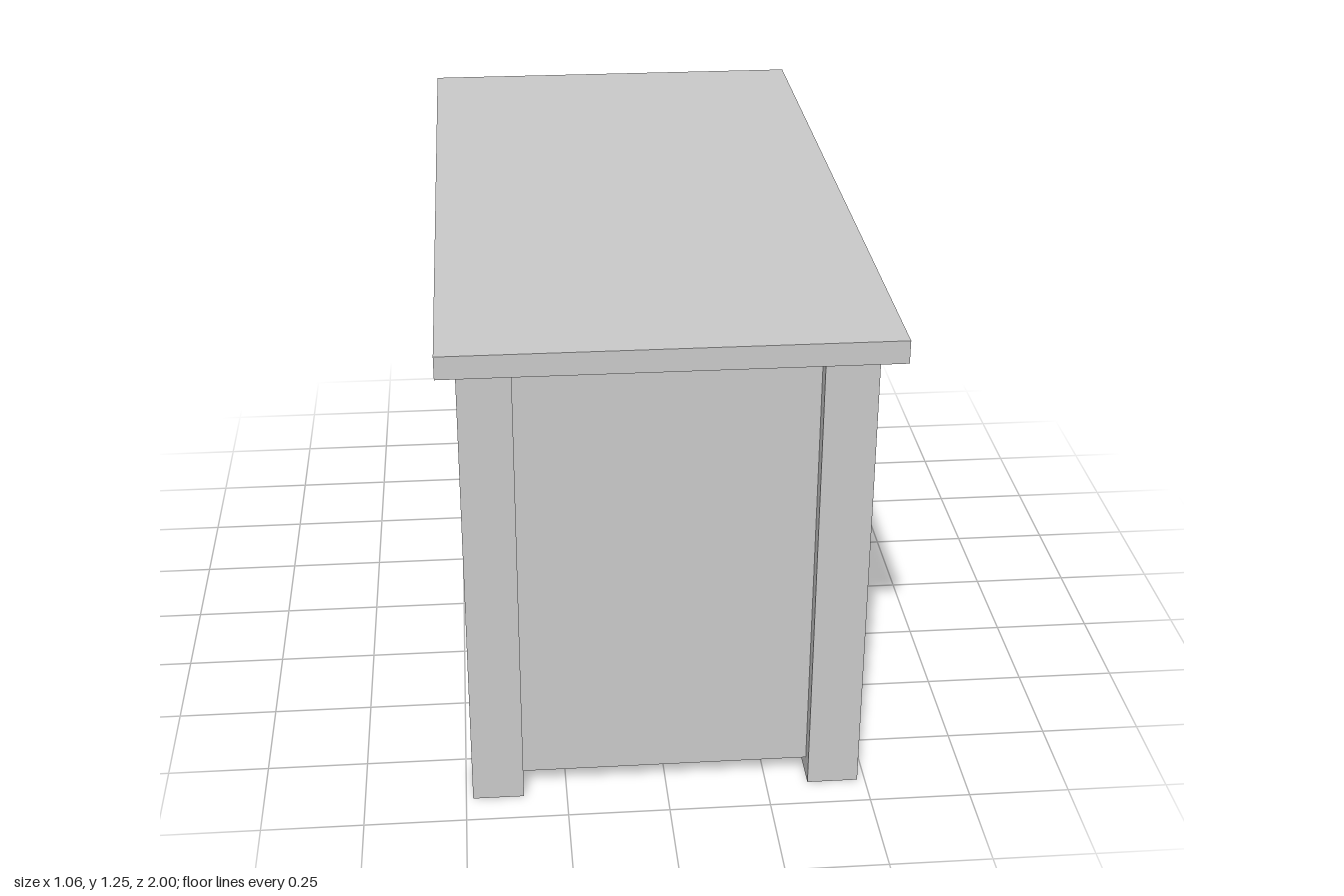
import * as THREE from 'three';

const material = new THREE.MeshStandardMaterial({ color: 0xcccccc, flatShading: true });

// Box given by its [min, max] extent on each axis
function block(name, [x0, x1], [y0, y1], [z0, z1]) {
  const mesh = new THREE.Mesh(new THREE.BoxGeometry(x1 - x0, y1 - y0, z1 - z0), material);
  mesh.position.set((x0 + x1) / 2, (y0 + y1) / 2, (z0 + z1) / 2);
  mesh.name = name;
  return mesh;
}

export function createModel() {
  const model = new THREE.Group();
  model.name = 'chestOfDrawers';

  // Overhanging top board and the carcass set in between the posts
  model.add(block('topBoard', [-0.528, 0.528], [1.197, 1.253], [-1, 1]));
  model.add(block('carcass', [-0.463, 0.415], [0.048, 1.197], [-0.904, 0.877]));

  // Four corner posts
  for (const x of [[-0.483, -0.357], [0.355, 0.481]]) {
    for (const z of [[-0.943, -0.826], [0.799, 0.916]]) {
      model.add(block('cornerPost', x, [0, 1.197], z));
    }
  }

  // Drawer fronts on the +x side: two wide ones below a split row
  const drawers = [
    { y: 0.129, z: [-0.803, 0.777] },
    { y: 0.469, z: [-0.803, 0.777] },
    { y: 0.809, z: [-0.803, -0.026] },
    { y: 0.809, z: [0, 0.777] },
  ];
  for (const { y, z } of drawers) {
    model.add(block('drawerFront', [0.405, 0.443], [y, y + 0.289], z));
  }
  return model;
}
